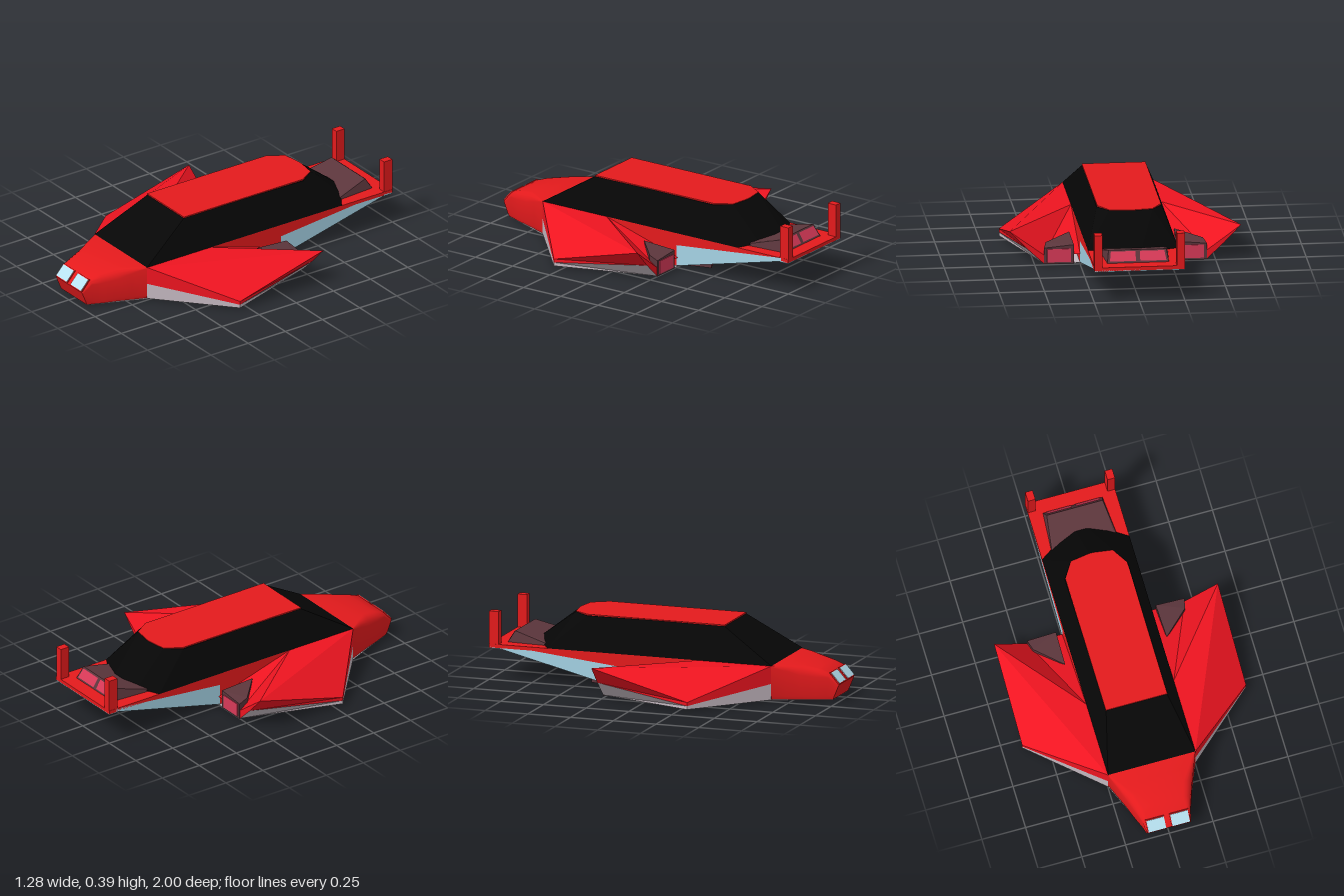
import * as THREE from 'three';
import { ConvexGeometry } from 'three/addons/geometries/ConvexGeometry.js';
import { toCreasedNormals } from 'three/addons/utils/BufferGeometryUtils.js';

const RED = 0xe41a1c, WING = 0xee1420, BLACK = 0x060606, GREY = 0xc4b8c0;
const BLUE = 0xa4d2e4, LAMP = 0xb8e2f2, DARK = 0x5c363c, PINK = 0xd83a58;

export function createModel() {
  const model = new THREE.Group();

  function add(name, geometry, color) {
    const material = new THREE.MeshStandardMaterial({ color, side: THREE.DoubleSide });
    const mesh = new THREE.Mesh(geometry, material);
    mesh.name = name;
    model.add(mesh);
    return mesh;
  }
  const box = (name, color, w, h, d, x, y, z) => {
    const m = add(name, new THREE.BoxGeometry(w, h, d), color);
    m.position.set(x, y, z);
    return m;
  };
  // Convex block from corner points, flipped to either side by s
  const block = (name, color, points, s = 1) =>
    add(name, new ConvexGeometry(points.map(([x, y, z]) => new THREE.Vector3(x * s, y, z))), color);
  const mirrored = (points) => points.flatMap(([x, y, z]) => [[x, y, z], [-x, y, z]]);
  // Flat polygons fanned into triangles; the winding is reversed on the mirrored side
  function panels(name, color, polygons, s = 1) {
    const pos = [];
    for (const p of polygons) {
      for (let i = 1; i < p.length - 1; i++) {
        const tri = s > 0 ? [p[0], p[i], p[i + 1]] : [p[0], p[i + 1], p[i]];
        for (const [x, y, z] of tri) pos.push(x * s, y, z);
      }
    }
    const g = new THREE.BufferGeometry();
    g.setAttribute('position', new THREE.Float32BufferAttribute(pos, 3));
    g.computeVertexNormals();
    return add(name, g, color);
  }

  // Main body and belly
  box('hull', RED, 0.5, 0.188, 0.9, 0, 0.106, 0.2);
  box('bellyPlate', GREY, 0.5, 0.006, 0.9, 0, 0.01, 0.2);

  // Nose: half width, top height, z at top, z at bottom, corner rounding
  const rings = [
    [0.25, 0.2, 0.65, 0.65, 0.005],
    [0.217, 0.2, 0.73, 0.73, 0.03],
    [0.188, 0.195, 0.8, 0.8, 0.05],
    [0.16, 0.18, 0.88, 0.88, 0.045],
    [0.138, 0.157, 0.945, 0.93, 0.025],
    [0.125, 0.095, 1.0, 0.965, 0.008],
  ].map(([w, top, zt, zb, r]) => {
    const half = [[w * 0.97, 0.01], [w, 0.03]];
    for (let i = 0; i <= 4; i++) {
      const a = (i / 4) * Math.PI / 2;
      half.push([w - r + r * Math.cos(a), top - r + r * Math.sin(a)]);
    }
    const loop = [...half, ...half.map(([x, y]) => [-x, y]).reverse()];
    return loop.map(([x, y]) => [x, y, zb + (zt - zb) * (y - 0.01) / (top - 0.01)]);
  });
  const noseFaces = [rings[rings.length - 1]];
  for (let k = 0; k < rings.length - 1; k++) {
    rings[k].forEach((p, i) => {
      const j = (i + 1) % rings[k].length;
      noseFaces.push([p, rings[k][j], rings[k + 1][j], rings[k + 1][i]]);
    });
  }
  const nose = panels('nose', RED, noseFaces);
  nose.geometry = toCreasedNormals(nose.geometry, 0.6);
  panels('noseBelly', GREY, [[
    [0.25, 0.007, 0.65], [-0.25, 0.007, 0.65], [-0.185, 0.007, 0.8], [-0.12, 0.007, 0.962],
    [0.12, 0.007, 0.962], [0.185, 0.007, 0.8]]]);

  // Canopy wraparound and roof
  block('canopy', BLACK, mirrored([
    [0.25, 0.2, 0.65], [0.25, 0.2, -0.66], [0.14, 0.21, -0.73], [0.03, 0.22, -0.775],
    [0.18, 0.38, 0.345], [0.172, 0.391, 0.34], [0.18, 0.385, -0.45], [0.12, 0.39, -0.54], [0.01, 0.39, -0.556],
  ]));
  block('roofPanel', RED, mirrored([0.386, 0.393].flatMap((y) =>
    [[0.176, y, 0.35], [0.176, y, -0.45], [0.12, y, -0.54], [0.01, y, -0.556]])));

  // Tail deck over a hollow underside
  box('tailDeck', RED, 0.5, 0.02, 0.75, 0, 0.19, -0.625);
  box('tailBar', BLUE, 0.5, 0.008, 0.055, 0, 0.18, -0.9725);

  // Engine duct running under the deck from the bulkhead to the rear hump
  block('engineDuct', DARK, mirrored([
    [0.2, 0.182, -0.25], [0.2, 0.1, -0.25], [0.17, 0.1, -0.42], [0.17, 0.182, -0.86], [0.16, 0.165, -0.8],
  ]));
  panels('rearBulkhead', BLUE, [[
    [0.13, 0.012, -0.252], [-0.13, 0.012, -0.252], [-0.1, 0.096, -0.42], [0.1, 0.096, -0.42]]]);
  block('engineHump', DARK, mirrored([
    [0.19, 0.2, -0.65], [0.17, 0.225, -0.72], [0.16, 0.264, -0.88], [0.17, 0.2, -0.92],
  ]));

  for (const s of [1, -1]) {
    // Headlights set on the sloping nose face
    const frame = box('headlightFrame', RED, 0.108, 0.083, 0.012, s * 0.068, 0.126, 0.971);
    const lamp = box('headlight', LAMP, 0.1, 0.073, 0.016, s * 0.068, 0.126, 0.972);
    frame.rotation.x = lamp.rotation.x = -0.73;

    // Rear exhaust panels
    panels('exhaustPanel', PINK, [[
      [0.012, 0.258, -0.889], [0.148, 0.258, -0.889], [0.156, 0.21, -0.919], [0.012, 0.21, -0.919]]], s);

    // Tail fins and tapering tail walls
    box('tailFin', RED, 0.043, 0.185, 0.055, s * 0.2275, 0.2925, -0.9725);
    block('tailSideUpper', RED, [0.21, 0.25].flatMap((x) =>
      [[x, 0.13, -0.25], [x, 0.2, -0.25], [x, 0.2, -0.95]]), s);
    block('tailSideLower', BLUE, [0.21, 0.25].flatMap((x) =>
      [[x, 0.01, -0.25], [x, 0.13, -0.25], [x, 0.2, -0.95], [x, 0.18, -0.95]]), s);

    // Lower thrusters either side of the bulkhead
    block('lowerThruster', DARK, [
      [0.13, 0, -0.24], [0.2, 0, -0.24], [0.12, 0.005, -0.4], [0.17, 0.01, -0.43],
      [0.13, 0.1, -0.24], [0.2, 0.1, -0.24], [0.11, 0.045, -0.4], [0.17, 0.05, -0.43]], s);
    panels('lowerThrusterGlow', PINK, [[
      [0.125, 0.012, -0.408], [0.165, 0.016, -0.432], [0.165, 0.044, -0.432], [0.12, 0.04, -0.408]]], s);

    // Wing: root, front tip and raised rear tip, undercut back to the nacelle
    const Rt = [0.25, 0.2, 0.65], Rm = [0.25, 0.1, 0.65], Rb = [0.25, 0.01, 0.65];
    const Ft = [0.64, 0.05, 0.3], Fm = [0.64, 0.03, 0.3], Fb = [0.64, 0.01, 0.3];
    const Kt = [0.64, 0.2, -0.26], Km = [0.545, 0.1, -0.26], Kb = [0.45, 0.01, -0.26];
    const ridge = [0.25, 0.2, 0.22], V0 = [0.25, 0.06, -0.26], V1 = [0.45, 0.06, -0.26];
    panels('wingTop', WING, [
      [Rt, Rm, Fm, Ft], [Rt, Ft, Kt], [Rt, Kt, ridge],
      [ridge, Kt, V1], [ridge, V1, V0], [Ft, Fm, Km, Kt], [Kt, Km, Kb, V1],
    ], s);
    panels('wingLowerEdge', GREY, [[Rm, Rb, Fb, Fm], [Fm, Fb, Kb, Km]], s);

    // Wing underside with a trough running back to the nacelle
    const hullFront = [0.28, 0.01, 0.5], hullRear = [0.28, 0.01, -0.26];
    const troughFront = [0.4, 0.09, 0.34], troughRear = [0.38, 0.07, -0.16];
    panels('wingUnderside', GREY, [
      [Rb, hullFront, Fb], [Rb, [0.25, 0.01, -0.26], hullRear, hullFront], [hullFront, troughFront, Fb],
    ], s);
    panels('wingTrough', DARK, [
      [hullFront, hullRear, troughRear, troughFront], [Fb, troughFront, troughRear], [Fb, troughRear, Kb],
    ], s);

    // Wing nacelle with a glowing outlet
    block('nacelle', DARK, [
      [0.285, 0.008, -0.262], [0.285, 0.115, -0.262], [0.45, 0.1, -0.262], [0.45, 0.008, -0.262],
      [0.435, 0.115, -0.2], [0.29, 0.13, -0.06], [0.29, 0.01, -0.18], [0.435, 0.01, -0.2]], s);
    box('nacelleOutlet', PINK, 0.13, 0.075, 0.006, s * 0.3675, 0.056, -0.263);
  }
  return model;
}
